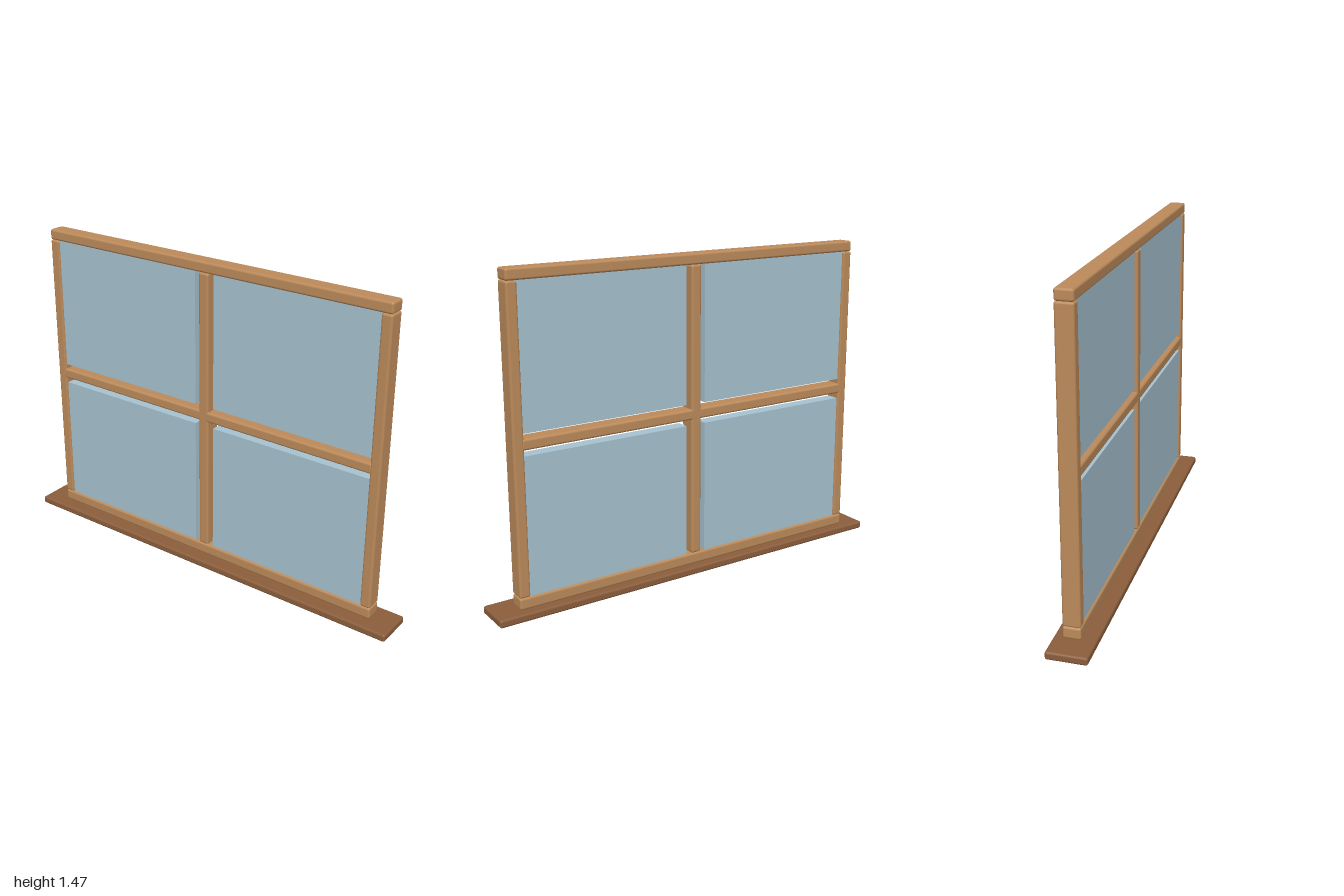
import * as THREE from 'three';
import { RoundedBoxGeometry } from 'three/addons/geometries/RoundedBoxGeometry.js';

export function createModel() {
  const group = new THREE.Group();
  group.name = 'window';

  const material = (name, color) => {
    const m = new THREE.MeshStandardMaterial({ color });
    m.name = name;
    return m;
  };
  const wood = material('wood', 0xbb8a5a);
  const darkWood = material('dark wood', 0x8b5e3c);
  const glass = material('glass', 0xa6c1cf);

  const FRAME_Z = -0.012, FRAME_DEPTH = 0.078;

  // Place a box by its x and y limits; a radius rounds its edges
  const addPart = (name, mat, [x0, x1], [y0, y1], z, depth, radius) => {
    const w = x1 - x0, h = y1 - y0;
    const geometry = radius
      ? new RoundedBoxGeometry(w, h, depth, 3, radius)
      : new THREE.BoxGeometry(w, h, depth);
    const mesh = new THREE.Mesh(geometry, mat);
    mesh.name = name;
    mesh.position.set((x0 + x1) / 2, (y0 + y1) / 2, z);
    group.add(mesh);
  };
  const addBar = (name, xs, ys) => addPart(name, wood, xs, ys, FRAME_Z, FRAME_DEPTH, 0.01);

  // Sill and outer frame
  addPart('sill', darkWood, [-1, 1], [0, 0.036], 0, 0.178, 0.01);
  addBar('bottomRail', [-0.89, 0.89], [0.036, 0.089]);
  addBar('topRail', [-0.89, 0.89], [1.418, 1.467]);
  addBar('rightStile', [-0.89, -0.841], [0.089, 1.418]);
  addBar('leftStile', [0.841, 0.89], [0.089, 1.418]);

  // Crossing glazing bars
  addBar('mullion', [-0.025, 0.025], [0.089, 1.418]);
  addBar('crossBar', [-0.85, 0.85], [0.729, 0.777]);

  // Four panes, held clear of the glazing bars
  for (const [side, xs] of [['right', [-0.844, -0.049]], ['left', [0.049, 0.844]]]) {
    for (const [level, ys] of [['Lower', [0.087, 0.703]], ['Upper', [0.799, 1.42]]]) {
      addPart(`${side}${level}Pane`, glass, xs, ys, FRAME_Z, 0.06);
    }
  }

  return group;
}
